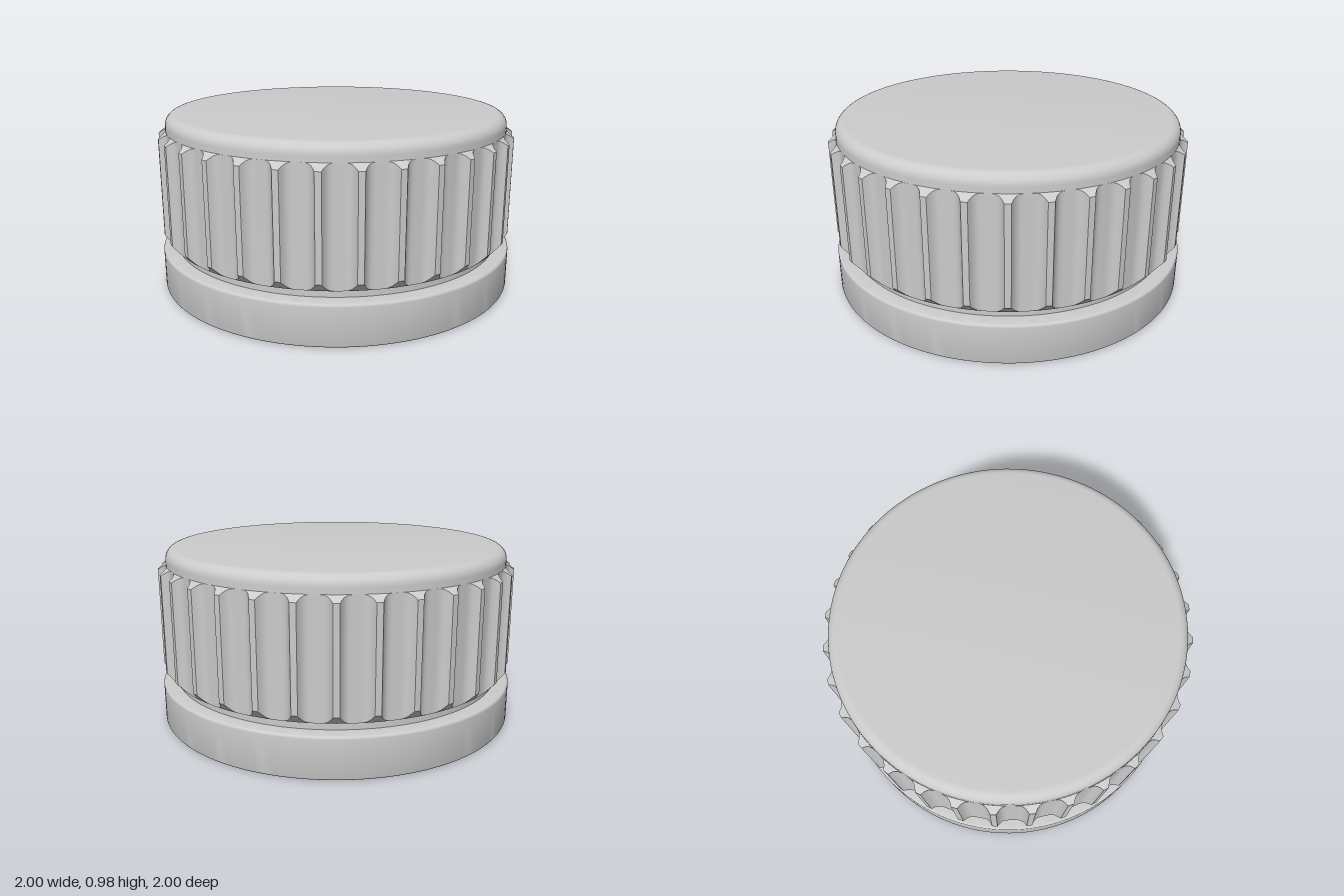
import * as THREE from 'three';
import { toCreasedNormals } from 'three/addons/utils/BufferGeometryUtils.js';

const material = new THREE.MeshStandardMaterial({ color: 0xcccccc });
const ribCount = 32;

// Rounded corner about (cx, cy), between two angles in quarter turns
function arc(cx, cy, r, from, to, n = 6) {
  return Array.from({ length: n + 1 }, (_, i) => {
    const a = (from + (to - from) * i / n) * Math.PI / 2;
    return [cx + r * Math.cos(a), cy + r * Math.sin(a)];
  });
}

// Turned part with smooth curves and sharp steps
function turned(name, profile) {
  const points = profile.map(([r, y]) => new THREE.Vector2(r, y));
  const geometry = toCreasedNormals(new THREE.LatheGeometry(points, 128), 0.4);
  const mesh = new THREE.Mesh(geometry, material);
  mesh.name = name;
  return mesh;
}

// Grip rib: a box bent round the cap, with hollow flanks that run out
// halfway to the next rib, a narrow crest and bevelled ends
function ribGeometry() {
  const geometry = new THREE.BoxGeometry(2, 2, 1, 4, 1, 14);
  const p = geometry.attributes.position;
  const crest = 0.016;
  for (let i = 0; i < p.count; i++) {
    const t = p.getZ(i) + 0.5;
    const rise = t ** 4;
    const angle = p.getX(i) * (crest + (Math.PI / ribCount - crest) * (1 - t));
    const r = 0.951 + 0.042 * rise;
    const y = p.getY(i) > 0 ? 0.885 - 0.03 * rise : 0.27 + 0.048 * rise;
    p.setXYZ(i, r * Math.sin(angle), y, r * Math.cos(angle));
  }
  geometry.computeVertexNormals();
  return geometry;
}

export function createModel() {
  const group = new THREE.Group();
  group.name = 'screwCap';

  // Hollow cap with stepped bore, neck groove and rounded top edge
  group.add(turned('capShell', [
    [0, 0.861], [0.847, 0.861], [0.847, 0.483], [0.895, 0.455],
    [0.895, 0.225], [0.92, 0.225], [0.92, 0.27], [0.95, 0.27],
    ...arc(0.89, 0.915, 0.06, 0, 1, 8), [0, 0.975],
  ]));

  // Retaining band around the bottom
  group.add(turned('retainingBand', [
    [0.895, 0.24], [0.93, 0.205], [0.93, 0.01], [0.94, 0],
    ...arc(0.985, 0.015, 0.015, -1, 0), ...arc(0.985, 0.21, 0.015, 0, 1),
    [0.919, 0.225],
  ]));

  // Grip ribs around the side
  const ribs = new THREE.Group();
  ribs.name = 'gripRibs';
  const geometry = ribGeometry();
  for (let i = 0; i < ribCount; i++) {
    const rib = new THREE.Mesh(geometry, material);
    rib.name = 'gripRib';
    rib.rotation.y = i / ribCount * Math.PI * 2 + 0.009;
    ribs.add(rib);
  }
  group.add(ribs);
  return group;
}
